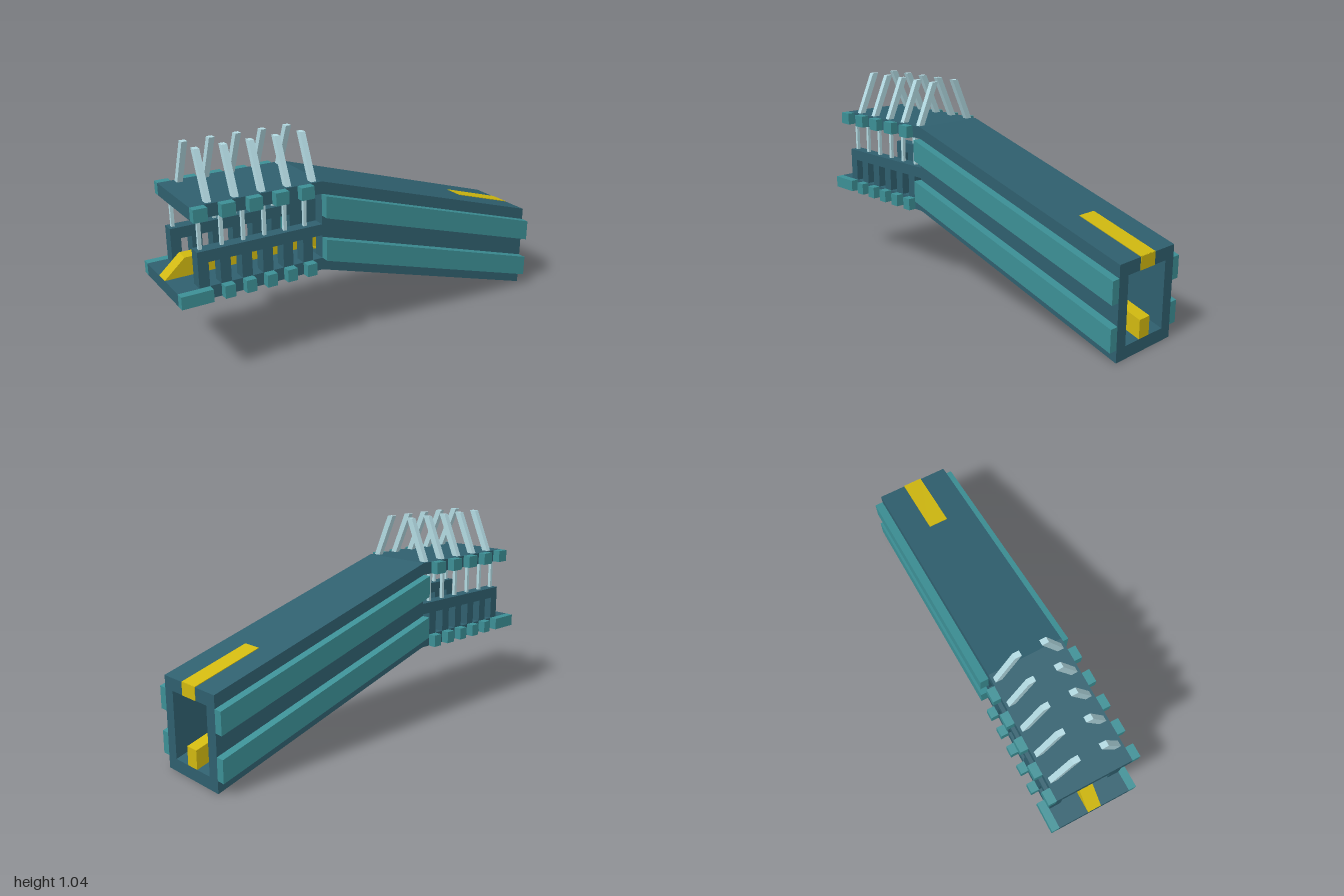
import * as THREE from 'three';

const dark = new THREE.MeshStandardMaterial({ name: 'dark blue', color: 0x2f5f6e });
const teal = new THREE.MeshStandardMaterial({ name: 'teal', color: 0x3c8f95 });
const yellow = new THREE.MeshStandardMaterial({ name: 'yellow', color: 0xd0b810 });
const pale = new THREE.MeshStandardMaterial({ name: 'pale blue', color: 0xb2d9e1 });

const BEND = -0.28, DROP = 0.39; // where the ramp starts, and how far it falls by x = 1
const rampY = (x) => -DROP * (x - BEND) / (1 - BEND);

export function createModel() {
  const model = new THREE.Group();
  model.name = 'coveredRamp';

  // Side profile (x, y) extruded from z0 to z1
  const slab = (name, pts, z0, z1, mat) => {
    const shape = new THREE.Shape(pts.map(([x, y]) => new THREE.Vector2(x, y)));
    const geo = new THREE.ExtrudeGeometry(shape, { depth: z1 - z0, bevelEnabled: false });
    geo.translate(0, 0, z0);
    const mesh = new THREE.Mesh(geo, mat);
    mesh.name = name;
    model.add(mesh);
    return mesh;
  };
  const box = (name, x0, x1, y0, y1, z0, z1, mat) => {
    const mesh = new THREE.Mesh(new THREE.BoxGeometry(x1 - x0, y1 - y0, z1 - z0), mat);
    mesh.position.set((x0 + x1) / 2, (y0 + y1) / 2, (z0 + z1) / 2);
    mesh.name = name;
    model.add(mesh);
  };
  // Sloping strip between two x values; heights are given at the bend
  const strip = (x0, x1, y0, y1) => [
    [x0, y0 + rampY(x0)], [x1, y0 + rampY(x1)], [x1, y1 + rampY(x1)], [x0, y1 + rampY(x0)],
  ];
  // Level deck that bends down into the ramp
  const bent = (x0, y0, y1) => [
    [x0, y0], [BEND, y0], [1, y0 - DROP], [1, y1 - DROP], [BEND, y1], [x0, y1],
  ];
  // z range on the front or back side
  const range = (side, a, b) => (side > 0 ? [a, b] : [-b, -a]);

  // Floor and roof
  slab('floor', bent(-1, 0.39, 0.45), -0.19, 0.19, dark);
  slab('roof', bent(-0.92, 0.77, 0.83), -0.19, 0.19, dark);

  // Central rail with a sloped nose, and a wider strip beneath it
  slab('centreRail', [
    [-1, 0.45], [BEND, 0.45], [1, 0.06], [1, 0.15], [BEND, 0.54], [-0.9, 0.54],
  ], -0.035, 0.035, yellow);
  slab('floorStripe', strip(BEND, 0.72, 0.449, 0.456), -0.05, 0.05, yellow);

  // Stripe on the roof end, folded over its edge
  slab('roofStripe', strip(0.66, 1, 0.826, 0.833), -0.05, 0.05, yellow);
  box('roofEndStripe', 0.997, 1.002, 0.38, 0.442, -0.05, 0.05, yellow);

  const pitch = 0.1036, post = 0.05, wallStart = -0.9;
  for (const side of [1, -1]) {
    // Ramp wall with two raised bands
    slab('rampWall', strip(BEND, 1, 0.45, 0.77), ...range(side, 0.13, 0.19), dark);
    for (const y of [0.45, 0.663]) {
      slab('wallBand', strip(BEND, 1, y, y + 0.107), ...range(side, 0.19, 0.233), teal);
    }

    // Parapet with open slots along its foot
    const wall = [[wallStart, 0.62], [wallStart, 0.45]];
    for (let i = 0; i < 6; i++) {
      const a = wallStart + i * pitch + post, b = wallStart + (i + 1) * pitch;
      wall.push([a, 0.45], [a, 0.565], [b, 0.565]);
      if (i < 5) wall.push([b, 0.45]);
    }
    wall.push([BEND, 0.565], [BEND, 0.62]);
    slab('parapet', wall, ...range(side, 0.13, 0.19), dark);

    // Slim columns and floor blocks, in line with the parapet posts
    for (let i = 0; i < 6; i++) {
      const x = wallStart + i * pitch;
      const mid = x + post / 2;
      box('column', mid - 0.008, mid + 0.008, 0.62, 0.77, ...range(side, 0.152, 0.168), pale);
      box('floorBlock', i ? x : -1, x + post, 0.39, 0.45, ...range(side, 0.19, 0.23), teal);
    }

    // Roof-edge blocks and inward-leaning spikes
    for (let i = 0; i < 5; i++) {
      const x = -0.92 + i * 0.129;
      box('roofBlock', x, x + 0.065, 0.77, 0.83, ...range(side, 0.19, 0.23), teal);
      // The spike profile lies in the z-y plane, turned to extrude along x
      const profile = [[0.145, 0.828], [0.178, 0.828], [0.084, 1.043], [0.05, 1.043]];
      const spike = slab('spike', profile.map(([z, y]) => [-side * z, y]), -0.0135, 0.0135, pale);
      spike.rotation.y = Math.PI / 2;
      spike.position.x = -0.828 + i * 0.1285;
    }
  }
  return model;
}
